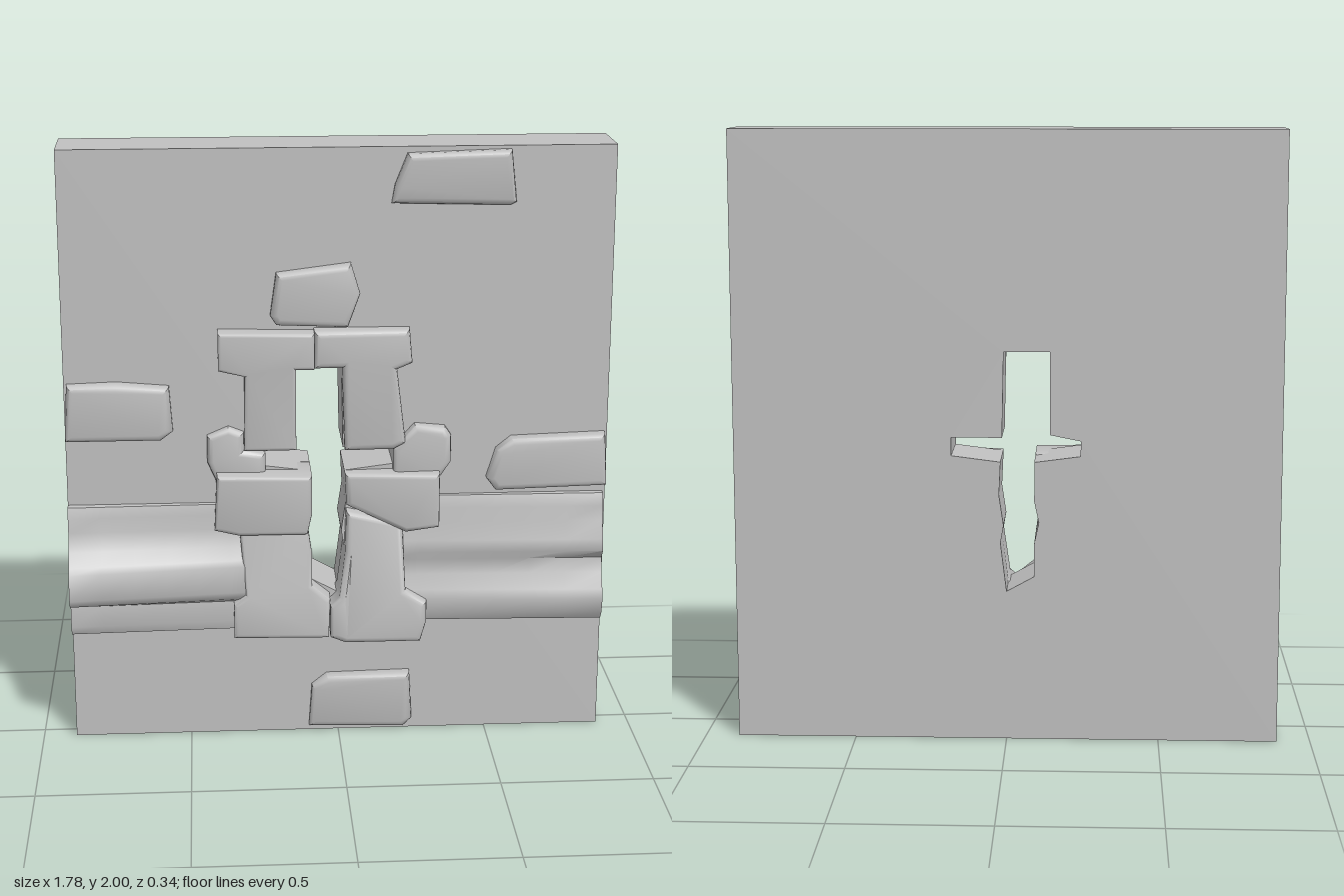
import * as THREE from 'three';
import { toCreasedNormals } from 'three/addons/utils/BufferGeometryUtils.js';

const stoneGray = new THREE.MeshStandardMaterial({ color: 0xc0c0c0 });

const outline = (pts) => new THREE.Shape(pts.map(([x, y]) => new THREE.Vector2(x, y)));

// Rounded stone set into the wall; front(x, y) gives the height of its face
function stone(name, pts, front, bevel = 0.022) {
  const back = -0.03, mid = 0.06;
  const geo = new THREE.ExtrudeGeometry(outline(pts), {
    depth: mid - back, bevelEnabled: true, bevelSize: bevel, bevelOffset: -bevel,
    bevelThickness: bevel, bevelSegments: 3,
  });
  geo.translate(0, 0, back);
  const p = geo.attributes.position;
  for (let i = 0; i < p.count; i++) {
    const z = p.getZ(i);
    if (z > mid - 0.001) p.setZ(i, z + front(p.getX(i), p.getY(i)) - mid - bevel);
  }
  const mesh = new THREE.Mesh(toCreasedNormals(geo, 0.7), stoneGray);
  mesh.name = name;
  return mesh;
}

// Moulded ledge: a (z, y) profile run along x, its relief growing from x0 to x1
function ledge(name, profile, x0, x1, s0, s1) {
  const geo = new THREE.ExtrudeGeometry(outline(profile), { depth: x1 - x0, steps: 6, bevelEnabled: false });
  geo.rotateY(-Math.PI / 2);
  geo.translate(x1, 0, 0);
  const p = geo.attributes.position;
  for (let i = 0; i < p.count; i++) {
    const z = p.getZ(i);
    const t = (p.getX(i) - x0) / (x1 - x0);
    if (z > 0.05) p.setZ(i, 0.05 + (z - 0.05) * (s0 + (s1 - s0) * t));
  }
  const mesh = new THREE.Mesh(toCreasedNormals(geo, 0.75), stoneGray);
  mesh.name = name;
  return mesh;
}

export function createModel() {
  const model = new THREE.Group();
  model.name = 'stoneWallWithCrossWindow';

  // Wall slab with the cross-shaped opening
  const slab = outline([[-0.89, 0], [0.89, 0], [0.89, 2], [-0.89, 2]]);
  slab.holes.push(outline([
    [-0.14, 1.29], [0.01, 1.29], [0.015, 1.01], [0.18, 1.01], [0.18, 0.95], [0.02, 0.93],
    [0.025, 0.82], [0.01, 0.72], [0.02, 0.66], [0, 0.5], [-0.09, 0.55], [-0.09, 0.66],
    [-0.105, 0.73], [-0.09, 0.8], [-0.09, 0.93], [-0.24, 0.95], [-0.24, 1.0], [-0.14, 1.02],
  ]));
  const wallGeo = new THREE.ExtrudeGeometry(slab, { depth: 0.22, bevelEnabled: false });
  wallGeo.translate(0, 0, -0.17);
  const wall = new THREE.Mesh(wallGeo, stoneGray);
  wall.name = 'wall';
  model.add(wall);

  // Loose stones scattered over the wall
  model.add(
    stone('topStone', [[0.17, 1.82], [0.18, 1.88], [0.22, 1.98], [0.55, 1.99], [0.57, 1.82], [0.55, 1.81]],
      (x, y) => 0.085 + (y - 1.9) * 0.1),
    stone('capStone', [[-0.22, 1.46], [-0.2, 1.6], [0.04, 1.63], [0.07, 1.53], [0.03, 1.42], [-0.2, 1.43]],
      () => 0.09),
    stone('leftStone', [[-0.89, 1.05], [-0.88, 1.24], [-0.72, 1.245], [-0.55, 1.23], [-0.54, 1.08], [-0.58, 1.05]],
      () => 0.09),
    stone('rightStone', [[0.49, 0.9], [0.52, 1], [0.57, 1.04], [0.88, 1.05], [0.89, 0.87], [0.52, 0.86]],
      () => 0.095),
    stone('bottomStone', [[-0.1, 0.02], [-0.09, 0.17], [-0.04, 0.21], [0.24, 0.215], [0.25, 0.04], [0.22, 0.01]],
      (x, y) => 0.085 + (y - 0.1) * 0.08),
  );

  // Upper window frame
  model.add(
    stone('upperLeftFrame', [[-0.39, 1.29], [-0.39, 1.415], [-0.08, 1.41], [-0.08, 1.29], [-0.14, 1.29],
      [-0.14, 1.02], [-0.31, 1.02], [-0.305, 1.27]], () => 0.118, 0.012),
    stone('upperRightFrame', [[-0.08, 1.29], [-0.08, 1.415], [0.23, 1.415], [0.24, 1.3], [0.19, 1.28],
      [0.22, 1.03], [0.18, 1.01], [0.02, 1.01], [0.01, 1.29]], (x) => 0.108 - x * 0.05),
  );

  // Stones at the ends of the cross arms
  model.add(
    stone('leftArmStone', [[-0.4, 0.9], [-0.43, 0.97], [-0.43, 1.06], [-0.36, 1.09], [-0.31, 1.07],
      [-0.31, 1.01], [-0.24, 1.0], [-0.24, 0.9]], () => 0.08, 0.02),
    stone('rightArmStone', [[0.18, 0.9], [0.18, 1.01], [0.25, 1.09], [0.35, 1.08], [0.37, 1.05],
      [0.37, 0.96], [0.33, 0.9]], () => 0.09),
  );

  // Lower window frame: blocks on legs with spreading feet
  const legFace = (foot) => (x, y) => 0.105 + (foot - 0.105) * THREE.MathUtils.clamp((0.72 - y) / 0.24, 0, 1);
  model.add(
    stone('leftBlock', [[-0.41, 0.75], [-0.4, 0.94], [-0.09, 0.935], [-0.09, 0.8], [-0.105, 0.73], [-0.33, 0.73]],
      (x, y) => 0.13 + (y - 0.83) * 0.06, 0.015),
    stone('leftLeg', [[-0.35, 0.37], [-0.35, 0.49], [-0.31, 0.52], [-0.33, 0.76], [-0.105, 0.76], [-0.09, 0.66],
      [-0.09, 0.55], [-0.03, 0.5], [-0.035, 0.365]], legFace(0.13), 0.015),
    stone('rightBlock', [[0.025, 0.82], [0.02, 0.93], [0.33, 0.935], [0.33, 0.75], [0.22, 0.73]],
      (x) => 0.095 + x * 0.12, 0.018),
    stone('rightLeg', [[-0.03, 0.37], [-0.03, 0.48], [0, 0.51], [0.02, 0.66], [0.025, 0.8], [0.21, 0.76],
      [0.22, 0.53], [0.29, 0.49], [0.29, 0.42], [0.27, 0.35], [0.02, 0.35]], legFace(0.145), 0.02),
  );

  // Ledges running out to both sides
  model.add(
    ledge('leftLedge', [[0, 0.39], [0.1, 0.39], [0.115, 0.42], [0.11, 0.49], [0.15, 0.505], [0.165, 0.53],
      [0.165, 0.62], [0.15, 0.64], [0.11, 0.68], [0.085, 0.74], [0.085, 0.79], [0.075, 0.825], [0, 0.83]],
      -0.89, -0.25, 1, 0.5),
    ledge('rightLedge', [[0, 0.405], [0.11, 0.41], [0.13, 0.44], [0.14, 0.49], [0.13, 0.52], [0.1, 0.57],
      [0.092, 0.62], [0.115, 0.65], [0.11, 0.69], [0.085, 0.75], [0.085, 0.8], [0.07, 0.84], [0, 0.845]],
      0.15, 0.88, 0.55, 1),
  );

  return model;
}
